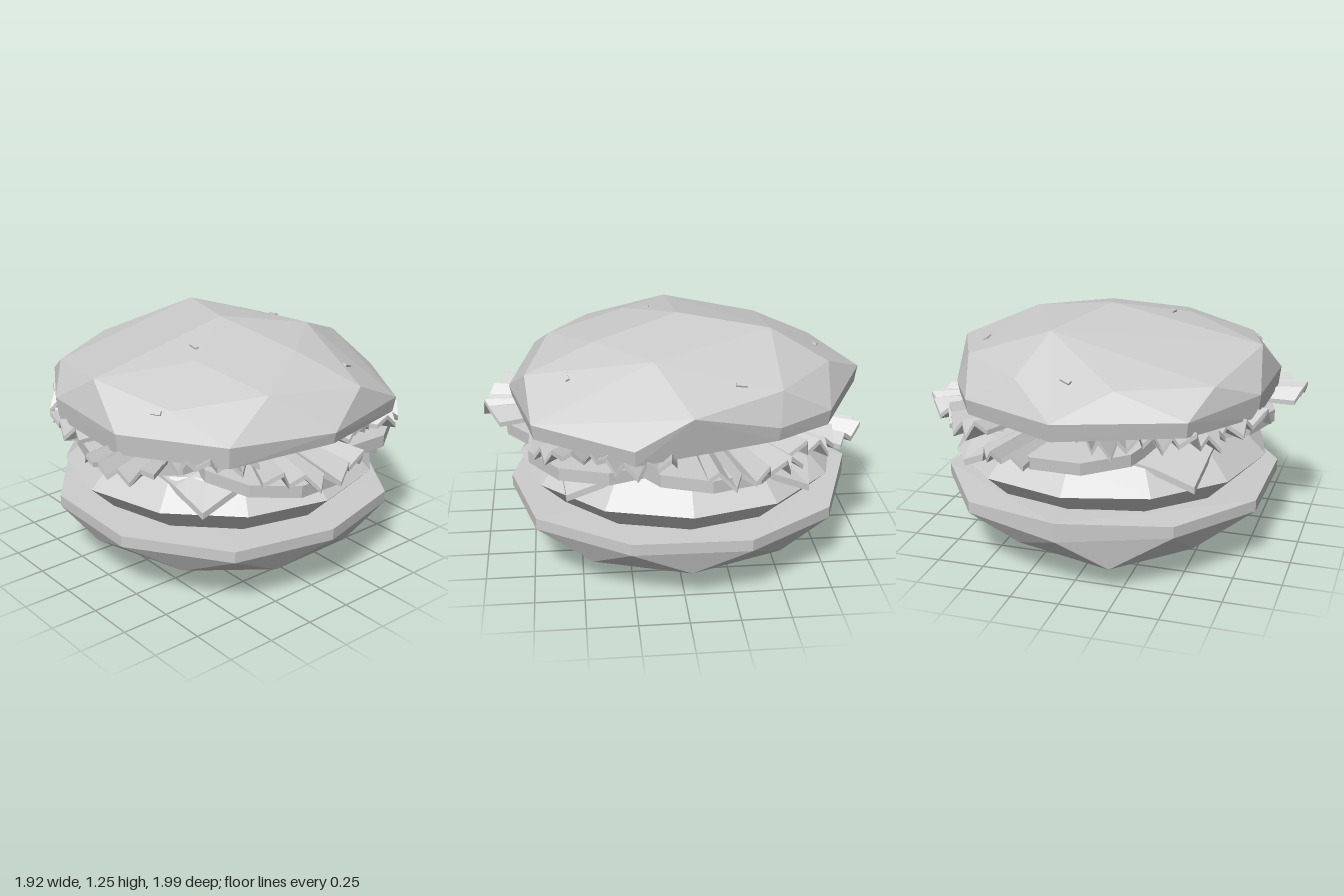
import * as THREE from 'three';
import { ConvexGeometry } from 'three/addons/geometries/ConvexGeometry.js';

const clay = new THREE.MeshStandardMaterial({ color: 0xcccccc, flatShading: true });
clay.name = 'clay grey';

function part(group, name, geometry) {
  const mesh = new THREE.Mesh(geometry, clay);
  mesh.name = name;
  group.add(mesh);
  return mesh;
}

const hull = (points) => new ConvexGeometry(points.map((p) => new THREE.Vector3(...p)));

// Faceted dome: outer rim (x, z, bottom, top), then shoulder and crown
const topRim = [
  [0.03, 0.85, 0.82, 0.88], [0.58, 0.73, 0.81, 0.89], [0.89, 0.25, 0.79, 0.87], [0.73, -0.46, 0.82, 0.89],
  [0.56, -0.74, 0.82, 0.9], [0.03, -1, 0.83, 0.92], [-0.56, -0.74, 0.82, 0.9], [-0.82, -0.31, 0.8, 0.92],
  [-0.83, 0.23, 0.79, 0.9], [-0.53, 0.72, 0.8, 0.91],
];
const topBunPoints = [
  [0.86, 1.01, -0.03], [0.28, 1.03, 0.76], [-0.22, 1.07, 0.64], [-0.77, 1.09, -0.03], [0.28, 1.05, -0.78],
  [-0.21, 1.03, -0.77], [-0.64, 1.02, -0.54], [0.65, 1.05, -0.48], [-0.64, 1.03, 0.42],
  [0.03, 1.25, -0.03], [-0.34, 1.16, 0.23], [0.16, 1.15, 0.41], [0.2, 1.21, -0.49], [0.5, 1.16, 0.13],
];
for (const [x, z, low, high] of topRim) topBunPoints.push([x * 0.985, low, z * 0.985], [x, high, z]);

// Faceted bowl: keel, belly, side and flat top rim
const bottomBunPoints = [
  [0.03, 0, -0.03], [-0.43, 0.06, -0.03], [0.41, 0.06, -0.1], [-0.12, 0.05, 0.42], [0.2, 0.05, -0.43], [-0.25, 0.05, -0.4],
  [0.81, 0.16, -0.03], [0.65, 0.16, 0.45], [0.27, 0.16, 0.71], [-0.22, 0.16, 0.72], [-0.6, 0.17, 0.45], [-0.78, 0.2, -0.03],
  [-0.55, 0.16, -0.55], [-0.2, 0.13, -0.83], [0.28, 0.19, -0.79], [0.63, 0.16, -0.5],
];
const bottomRim = [
  [0.03, 0.86], [0.54, 0.73], [0.85, 0.27], [0.86, -0.32], [0.56, -0.76],
  [0.03, -0.95], [-0.5, -0.74], [-0.82, -0.32], [-0.83, 0.25], [-0.5, 0.73],
];
for (const [x, z] of bottomRim) {
  const top = z < -0.9 ? 0.4 : 0.36;
  bottomBunPoints.push([x, 0.3, z], [x, top, z]);
}

// Square slice whose corners fold down and in over the patty
function cheeseGeometry() {
  const g = new THREE.BoxGeometry(1.28, 0.035, 1.28, 6, 1, 6);
  const p = g.attributes.position;
  for (let i = 0; i < p.count; i++) {
    const bend = Math.max(0, Math.hypot(p.getX(i), p.getZ(i)) - 0.67);
    const pull = 1 - 0.25 * bend;
    p.setXYZ(i, p.getX(i) * pull, p.getY(i) + 0.65 - bend * 0.58, p.getZ(i) * pull);
  }
  return g;
}

// Pleated leaf: a slab wrapped round an arc, folded unevenly and drooping outwards
function leafGeometry(angle, span, outer, pleats, lift, droop, depth) {
  const g = new THREE.BoxGeometry(1, 1, 1, pleats * 2, 1, 1);
  const p = g.attributes.position;
  for (let i = 0; i < p.count; i++) {
    const k = Math.round((p.getX(i) + 0.5) * pleats * 2);
    const t = p.getZ(i) + 0.5;
    const wobble = Math.sin(k * 2.3 + angle * 5);
    const a = angle + (p.getX(i) + 0.25 * wobble / (pleats * 2)) * span;
    const edge = outer - 0.07 * Math.pow(2 * p.getX(i), 2) + 0.02 * wobble;
    const r = THREE.MathUtils.lerp(0.15, edge, t);
    const fold = (k % 2 ? 1 : -1) * depth * (0.3 + 0.7 * t) * (0.75 + 0.5 * wobble);
    p.setXYZ(i, r * Math.sin(a), lift - droop * t + fold + p.getY(i) * 0.025, r * Math.cos(a));
  }
  return g;
}

export function createModel() {
  const model = new THREE.Group();
  model.name = 'hamburger';

  part(model, 'bottomBun', hull(bottomBunPoints));

  // Patty with a wide waist
  const profile = [[0, 0.36], [0.7, 0.36], [0.84, 0.5], [0.7, 0.635], [0, 0.635]]
    .map(([r, y]) => new THREE.Vector2(r, y));
  part(model, 'patty', new THREE.LatheGeometry(profile, 12)).position.set(0.03, 0, -0.03);

  part(model, 'cheese', cheeseGeometry()).position.set(0.03, 0, -0.03);

  // Tomato slices: centre, tilt about x and z
  const slices = [
    [-0.07, 0.665, 0.48, 0.06, 0], [-0.43, 0.705, 0.02, 0, 0.01],
    [0.5, 0.69, -0.12, 0, -0.02], [0.05, 0.69, -0.47, -0.09, 0], [0.36, 0.685, 0.36, 0.02, -0.02],
  ];
  for (const [x, y, z, rx, rz] of slices) {
    const slice = part(model, 'tomatoSlice', new THREE.CylinderGeometry(0.41, 0.41, 0.065, 10));
    slice.position.set(x, y, z);
    slice.rotation.set(rx, 0.3, rz);
  }

  // Lettuce leaves: angle from the front, span, outer radius, pleats, height, droop, fold depth
  const leaves = [
    [-0.14, 0.62, 0.99, 5, 0.78, 0.045, 0.045], [-1.24, 0.44, 1.0, 4, 0.79, 0.02, 0.03],
    [1.95, 0.55, 0.98, 5, 0.79, 0.06, 0.04], [2.4, 0.4, 0.95, 4, 0.79, 0.04, 0.045],
    [2.78, 0.28, 0.99, 3, 0.78, 0.1, 0.035], [1.25, 0.55, 0.93, 5, 0.79, 0.01, 0.035],
    [0.78, 0.4, 0.94, 4, 0.785, 0.02, 0.035], [-1.95, 0.5, 0.89, 5, 0.785, 0, 0.04],
    [-2.4, 0.42, 0.91, 4, 0.785, 0.01, 0.045], [0.4, 0.5, 0.82, 5, 0.79, 0, 0.035],
    [-0.75, 0.6, 0.86, 5, 0.79, 0, 0.035], [-2.85, 0.5, 0.87, 5, 0.785, 0.01, 0.045],
  ];
  for (const leaf of leaves) part(model, 'lettuceLeaf', leafGeometry(...leaf));

  const topBun = part(model, 'topBun', hull(topBunPoints));

  // Sesame seeds laid on the crown: x, z and heading
  const down = new THREE.Vector3(0, -1, 0);
  const up = new THREE.Vector3(0, 1, 0);
  const seeds = [[0.03, -0.76, -0.4], [0.63, -0.28, 1.5], [-0.26, 0.12, 1.45], [-0.68, 0.36, -1.1], [0.39, 0.55, 0.2]];
  for (const [x, z, heading] of seeds) {
    const hit = new THREE.Raycaster(new THREE.Vector3(x, 3, z), down).intersectObject(topBun)[0];
    const seed = part(model, 'sesameSeed', new THREE.BoxGeometry(0.055, 0.02, 0.022));
    seed.position.copy(hit.point);
    seed.quaternion.setFromUnitVectors(up, hit.face.normal);
    seed.rotateY(heading);
  }
  return model;
}
